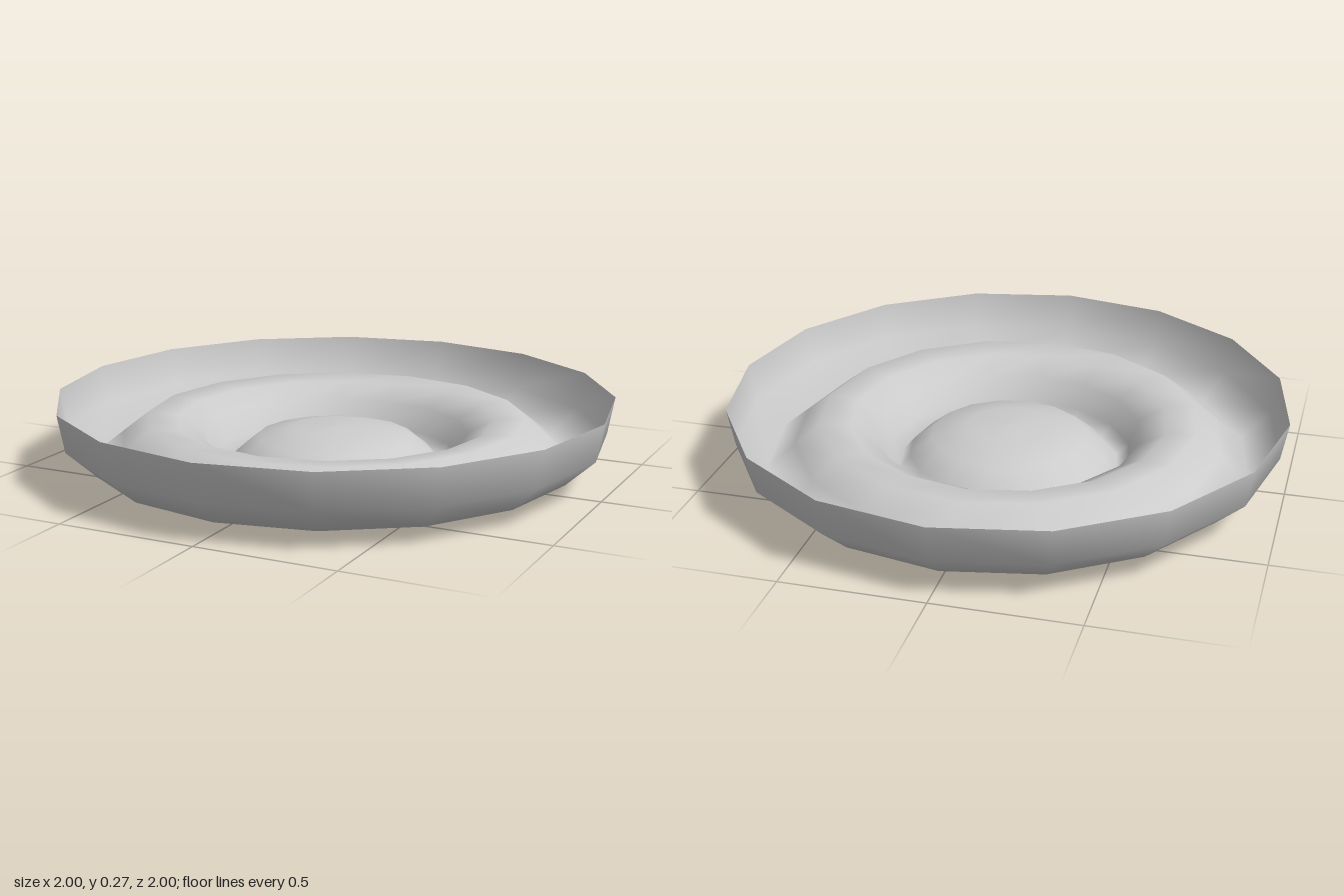
import * as THREE from 'three';

export function createModel() {
  const group = new THREE.Group();
  group.name = 'dish';

  // Thin shell profile (radius, height), from the centre out to the rim
  const profile = [
    [0, 0.15], [0.15, 0.145], [0.28, 0.115], [0.36, 0.05], // central dome
    [0.4, 0],                                              // foot ring
    [0.445, 0.04], [0.48, 0.13],                           // steep inner wall
    [0.57, 0.18], [0.68, 0.19], [0.77, 0.12],              // raised ridge
    [0.87, 0.04],                                          // outer trough
    [0.975, 0.135], [1, 0.27],                             // rim wall
  ].map(([r, y]) => new THREE.Vector2(r, y));

  const material = new THREE.MeshStandardMaterial({ color: 0xcccccc, side: THREE.DoubleSide });
  const shell = new THREE.Mesh(new THREE.LatheGeometry(profile, 16), material);
  shell.name = 'dishShell';
  group.add(shell);
  return group;
}
